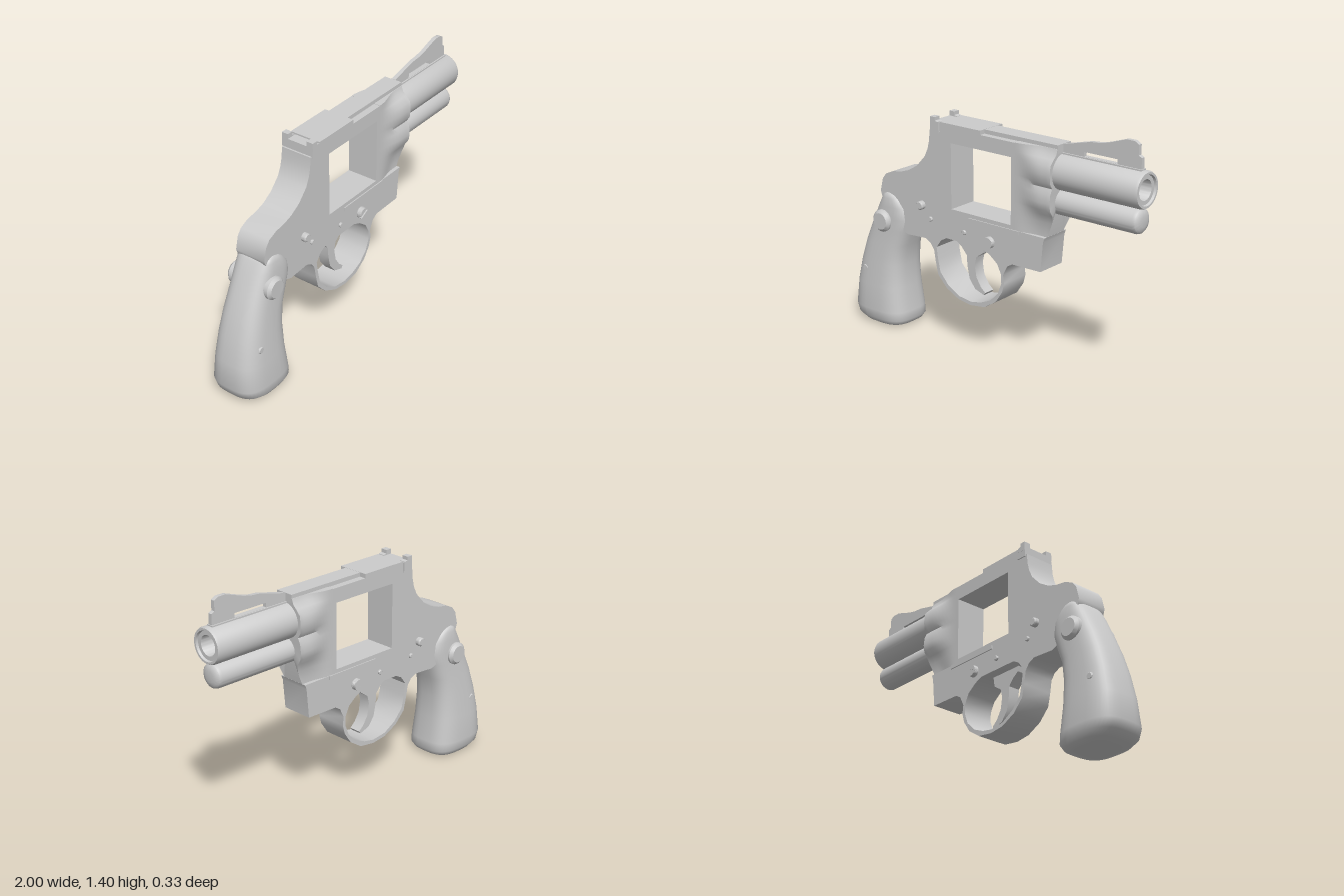
import * as THREE from 'three';
import { toCreasedNormals } from 'three/addons/utils/BufferGeometryUtils.js';

const mat = new THREE.MeshStandardMaterial({ color: 0xcccccc });
const V = (x, y) => new THREE.Vector2(x, y);
const pts = (list) => list.map(([x, y]) => V(x, y));

function add(group, name, geo, crease = 0.6) {
  const mesh = new THREE.Mesh(toCreasedNormals(geo, crease), mat);
  mesh.name = name;
  group.add(mesh);
  return mesh;
}

// Plate cut from a side outline, centred on z = 0
function plate(outline, halfWidth, holes = []) {
  const shape = new THREE.Shape(pts(outline));
  holes.forEach((h) => shape.holes.push(new THREE.Path(pts(h))));
  return new THREE.ExtrudeGeometry(shape, { depth: 2 * halfWidth, bevelEnabled: false }).translate(0, 0, -halfWidth);
}

function box(x0, x1, y0, y1, z0, z1) {
  return new THREE.BoxGeometry(x1 - x0, y1 - y0, z1 - z0).translate((x0 + x1) / 2, (y0 + y1) / 2, (z0 + z1) / 2);
}

// Closed rings joined into a capped solid
function loft(rings) {
  const n = rings[0].length, pos = [], idx = [];
  rings.forEach((r) => r.forEach((p) => pos.push(...p)));
  for (let i = 0; i < rings.length - 1; i++) {
    for (let j = 0; j < n; j++) {
      const a = i * n + j, b = i * n + (j + 1) % n;
      idx.push(a, b, b + n, a, b + n, a + n);
    }
  }
  [0, rings.length - 1].forEach((i) => {
    const c = pos.length / 3;
    pos.push(...[0, 1, 2].map((k) => rings[i].reduce((s, p) => s + p[k], 0) / n));
    for (let j = 0; j < n; j++) {
      const a = i * n + j, b = i * n + (j + 1) % n;
      idx.push(c, ...(i === 0 ? [b, a] : [a, b]));
    }
  });
  const geo = new THREE.BufferGeometry();
  geo.setAttribute('position', new THREE.Float32BufferAttribute(pos, 3));
  geo.setIndex(idx);
  return geo;
}

// Turned part lying along x; profile is [radius, x]
function turned(profile, y) {
  return new THREE.LatheGeometry(pts(profile), 48).rotateZ(-Math.PI / 2).translate(0, y, 0);
}

// Turned pin running through both sides, with chamfered ends
function pin(x, y, r, z) {
  const c = r * 0.25;
  const profile = [[0, -z], [r - c, -z], [r, -z + c], [r, z - c], [r - c, z], [0, z]];
  return new THREE.LatheGeometry(pts(profile), 28).rotateX(Math.PI / 2).translate(x, y, 0);
}

export function createModel() {
  const model = new THREE.Group();
  model.name = 'revolver';

  // Frame with cylinder window and trigger guard
  const outline = [
    [-0.385, 1.25], [-0.39, 1.19], [-0.402, 1.14], [-0.425, 1.09], [-0.485, 1.025], [-0.55, 0.985], [-0.61, 0.965],
    [-0.675, 0.955], [-0.73, 0.93], [-0.757, 0.895], [-0.775, 0.82], [-0.765, 0.79], [-0.7, 0.7], [-0.63, 0.62],
    [-0.565, 0.597], [-0.43, 0.605], [-0.39, 0.585], [-0.365, 0.55], [-0.353, 0.48], [-0.335, 0.405], [-0.27, 0.338],
    [-0.18, 0.293], [-0.09, 0.281], [0.01, 0.295], [0.09, 0.348], [0.135, 0.415], [0.15, 0.47], [0.143, 0.52],
    [0.17, 0.575], [0.205, 0.597], [0.4, 0.6], [0.415, 0.77], [0.425, 0.796], [0.22, 0.796], [0.22, 1.283],
    [-0.02, 1.283], [-0.02, 1.307], [-0.31, 1.307], [-0.31, 1.25],
  ];
  const cylinderWindow = [[-0.23, 0.82], [0.195, 0.82], [0.195, 1.2], [-0.23, 1.2]];
  const guardHole = [
    [-0.27, 0.64], [-0.01, 0.64], [0.045, 0.617], [0.1, 0.575], [0.128, 0.52], [0.13, 0.465], [0.105, 0.4],
    [0.05, 0.345], [-0.02, 0.315], [-0.09, 0.302], [-0.18, 0.314], [-0.26, 0.36], [-0.318, 0.425],
    [-0.335, 0.5], [-0.345, 0.57], [-0.31, 0.618],
  ];
  add(model, 'frame', plate(outline, 0.094, [cylinderWindow, guardHole]));
  add(model, 'topStrap', box(-0.03, 0.475, 1.26, 1.306, -0.055, 0.055));
  add(model, 'windowLedge', box(-0.1, 0.25, 0.775, 0.797, -0.1, 0.1));

  // Frame front: swells into two rounded ribs and narrows below; rows are [y, half width, front x]
  const front = [
    [1.285, 0.058, 0.475], [1.255, 0.068, 0.475], [1.235, 0.09, 0.475], [1.205, 0.117, 0.475], [1.155, 0.122, 0.475],
    [1.11, 0.118, 0.475], [1.08, 0.1, 0.475], [1.05, 0.115, 0.475], [1.0, 0.121, 0.475], [0.96, 0.115, 0.475],
    [0.925, 0.092, 0.475], [0.88, 0.08, 0.462], [0.83, 0.072, 0.44], [0.795, 0.072, 0.424],
  ];
  const frontRings = [];
  for (let i = 0; i <= 10; i++) {
    const t = i / 10, s = THREE.MathUtils.smoothstep(t, 0.05, 0.75);
    const side = front.map(([y, w, xf]) => [0.22 + (xf - 0.22) * t, y, 0.094 + (w - 0.094) * s]);
    frontRings.push([...side, ...side.map(([x, y, z]) => [x, y, -z]).reverse()]);
  }
  add(model, 'frameFront', loft(frontRings), 0.7);

  // Barrel with stepped, bored muzzle, and the ejector shroud below
  add(model, 'barrel', turned([
    [0.1, 0.46], [0.1, 0.985], [0.094, 0.998], [0.082, 0.998], [0.078, 0.985], [0.056, 0.985], [0.053, 0.98],
    [0.053, 0.75], [0, 0.75],
  ], 1.155));
  add(model, 'ejectorShroud', turned([
    [0.07, 0.4], [0.07, 0.955], [0.065, 0.97], [0.052, 0.98], [0.03, 0.985], [0, 0.985],
  ], 0.987));

  // Front sight ramp with slot, on a low rib
  add(model, 'frontSight', plate([
    [0.478, 1.24], [0.965, 1.24], [0.965, 1.32], [0.945, 1.33], [0.945, 1.385], [0.92, 1.4], [0.87, 1.4],
    [0.76, 1.363], [0.71, 1.352], [0.65, 1.347], [0.478, 1.305],
  ], 0.012, [[[0.61, 1.262], [0.82, 1.262], [0.82, 1.287], [0.61, 1.287]]]));
  add(model, 'sightRib', box(0.47, 0.97, 1.23, 1.261, -0.02, 0.02));

  // Rear sight: wide blade with two raised ears
  add(model, 'rearSight', box(-0.375, -0.315, 1.24, 1.302, -0.1, 0.1));
  for (const s of [-1, 1]) {
    const ear = plate([[-0.375, 1.28], [-0.32, 1.28], [-0.32, 1.305], [-0.34, 1.31], [-0.34, 1.33], [-0.375, 1.33]], 0.02);
    add(model, 'rearSightEar', ear.translate(0, 0, s * 0.081));
  }

  // Trigger
  add(model, 'trigger', plate([
    [-0.25, 0.65], [-0.24, 0.61], [-0.205, 0.585], [-0.17, 0.545], [-0.166, 0.485], [-0.15, 0.41], [-0.11, 0.357],
    [-0.045, 0.335], [-0.035, 0.35], [-0.067, 0.378], [-0.1, 0.43], [-0.112, 0.5], [-0.1, 0.55], [-0.05, 0.585],
    [-0.04, 0.65],
  ], 0.035));

  // Grip: rounded sections [y, back x, front x, half width]
  const sections = [
    [0, -0.86, -0.68, 0.1], [0.012, -0.93, -0.625, 0.143], [0.04, -0.982, -0.606, 0.16], [0.09, -1, -0.612, 0.163],
    [0.24, -0.985, -0.632, 0.151], [0.38, -0.955, -0.637, 0.139], [0.5, -0.918, -0.62, 0.129],
    [0.6, -0.878, -0.58, 0.122], [0.67, -0.845, -0.56, 0.12], [0.74, -0.81, -0.573, 0.117],
    [0.79, -0.78, -0.62, 0.112], [0.81, -0.765, -0.65, 0.106], [0.82, -0.735, -0.69, 0.098],
  ];
  const power = (v) => Math.sign(v) * Math.abs(v) ** 0.65;
  const gripRings = sections.map(([y, x0, x1, w]) => Array.from({ length: 40 }, (_, j) => {
    const a = (j / 40) * Math.PI * 2;
    return [(x0 + x1) / 2 + (x1 - x0) / 2 * power(Math.sin(a)), y, w * power(Math.cos(a))];
  }));
  add(model, 'grip', loft(gripRings), 0.9);
  add(model, 'gripMedallion', pin(-0.74, 0.65, 0.066, 0.147));
  add(model, 'gripPin', pin(-0.875, 0.33, 0.021, 0.142));

  // Frame pins and the slotted side screw
  add(model, 'framePin', pin(-0.45, 0.8, 0.025, 0.122));
  add(model, 'framePin', pin(-0.385, 0.73, 0.014, 0.105));
  add(model, 'framePin', pin(-0.135, 0.705, 0.014, 0.105));
  add(model, 'sideScrew', pin(0.05, 0.69, 0.033, 0.11));
  for (const turn of [0, Math.PI]) {
    const half = new THREE.Shape().absarc(0, 0, 0.032, 0.2, Math.PI - 0.2);
    const geo = new THREE.ExtrudeGeometry(half, { depth: 0.244, bevelEnabled: false, curveSegments: 12 });
    add(model, 'screwHeadHalf', geo.rotateZ(turn + 0.5).translate(0.05, 0.69, -0.122));
  }
  return model;
}
